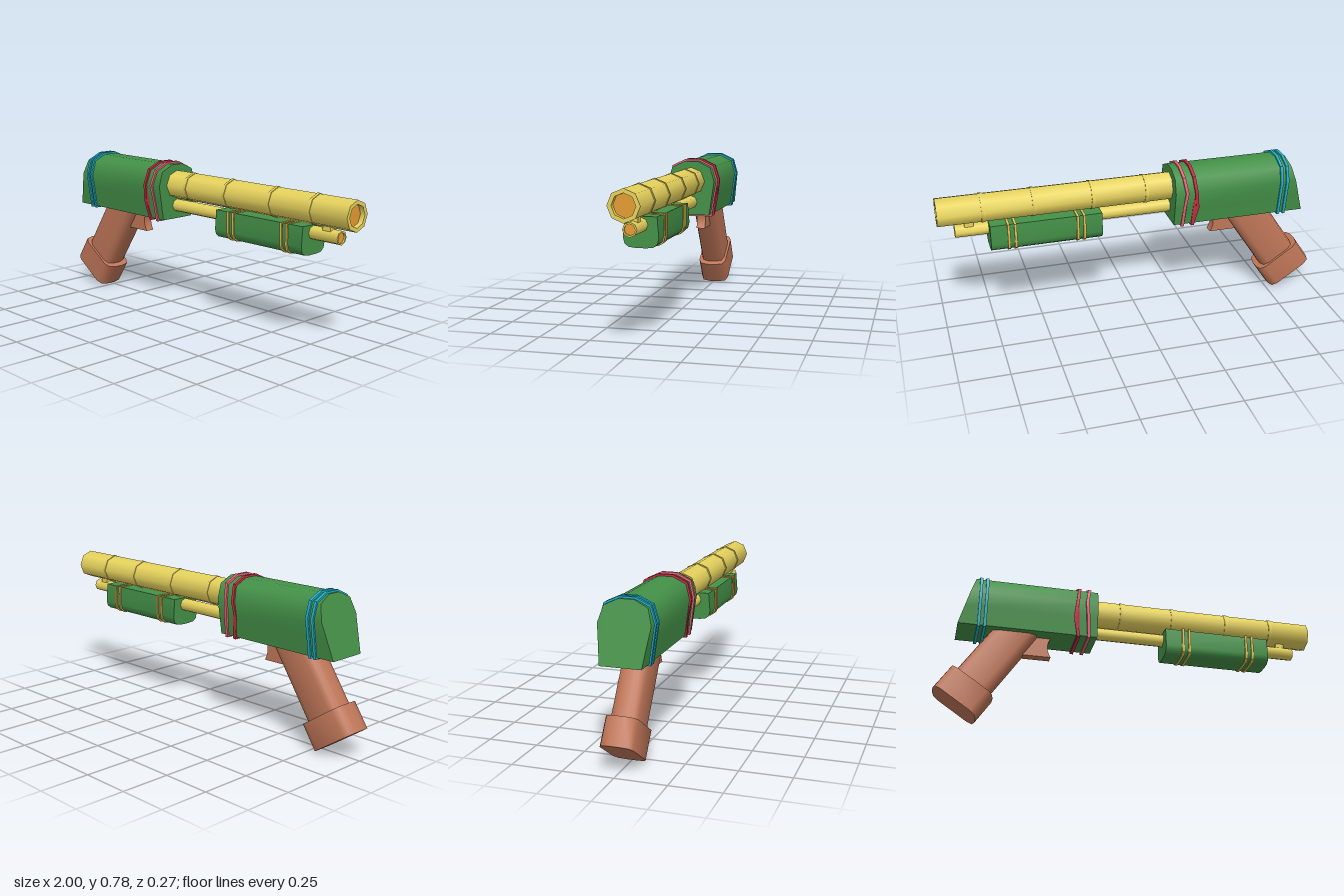
import * as THREE from 'three';
import { toCreasedNormals } from 'three/addons/utils/BufferGeometryUtils.js';

const paint = (name, color) => {
  const m = new THREE.MeshStandardMaterial({ color });
  m.name = name;
  return m;
};

// Mirror half an outline (from top centre down to bottom centre) into a full loop
const mirrored = (half) => [
  ...half.map(([z, y]) => new THREE.Vector2(z, y)),
  ...half.slice().reverse().map(([z, y]) => new THREE.Vector2(-z, y)),
];

const scaled = (pts, k, cy) => pts.map((p) => new THREE.Vector2(p.x * k, cy + (p.y - cy) * k));

// Piecewise linear lookup in [y, value] pairs, sorted by y
const lookup = (table, y) => {
  if (y <= table[0][0]) return table[0][1];
  for (let i = 1; i < table.length; i++) {
    const [y0, v0] = table[i - 1], [y1, v1] = table[i];
    if (y <= y1) return v0 + ((v1 - v0) * (y - y0)) / (y1 - y0);
  }
  return table[table.length - 1][1];
};

// Extrude a (z, y) outline along x from x0 to x1
function alongX(shape, x0, x1) {
  const g = new THREE.ExtrudeGeometry(shape, { depth: x1 - x0, bevelEnabled: false });
  return g.rotateY(Math.PI / 2).translate(x0, 0, 0);
}

export function createModel() {
  const root = new THREE.Group();
  const green = paint('green', 0x449148);
  const gold = paint('gold', 0xe8d45e);
  const amber = paint('amber gold', 0xe8c453);
  const orange = paint('orange', 0xe69c33);
  const brown = paint('brown', 0xbf7658);
  const teal = paint('teal', 0x1fb2cd);
  const red = paint('red', 0xc62f45);
  const pink = paint('pink', 0xe9677a);

  const add = (name, geometry, material, crease = 0.85) => {
    const mesh = new THREE.Mesh(toCreasedNormals(geometry, crease), material);
    mesh.name = name;
    root.add(mesh);
    return mesh;
  };

  // Receiver with a slanted rear end
  const bodyLoop = mirrored([
    [0.037, 0.768], [0.105, 0.736], [0.127, 0.66], [0.114, 0.575], [0.1, 0.478],
  ]);
  const body = alongX(new THREE.Shape(bodyLoop), -0.905, -0.192);
  const bp = body.attributes.position;
  for (let i = 0; i < bp.count; i++) {
    if (bp.getX(i) < -0.5) bp.setX(i, -0.905 + (bp.getY(i) - 0.478) * 0.3);
  }
  add('receiver', body, green);

  // Closed bands hugging an outline; xAt gives their centre line by height
  const band = (name, loop, cy, k, width, xAt, material) => {
    const shape = new THREE.Shape(scaled(loop, k, cy));
    shape.holes.push(new THREE.Path(scaled(loop, 0.99, cy)));
    const g = alongX(shape, -width / 2, width / 2);
    const p = g.attributes.position;
    for (let i = 0; i < p.count; i++) p.setX(i, p.getX(i) + lookup(xAt, p.getY(i)));
    add(name, g, material, 0.6);
  };
  [-0.801, -0.77].forEach((x) => band('rearBand', bodyLoop, 0.625, 1.065, 0.015, [[0, x]], teal));
  band('frontBandInner', bodyLoop, 0.625, 1.07, 0.016,
    [[0.47, -0.29], [0.575, -0.313], [0.737, -0.291], [0.78, -0.29]], red);
  band('frontBandOuter', bodyLoop, 0.625, 1.07, 0.016,
    [[0.47, -0.236], [0.575, -0.241], [0.66, -0.252], [0.737, -0.238], [0.78, -0.236]], pink);

  // Eight-sided hollow tubes with a shallow recessed bore
  const hollowTube = (name, y, r, bore, recess, x0, x1) => {
    const profile = [[r, x0], [r, x1], [bore, x1], [bore, x1 - recess]]
      .map(([a, b]) => new THREE.Vector2(a, b));
    add(name, new THREE.LatheGeometry(profile, 8).rotateZ(-Math.PI / 2).translate(0, y, 0), gold);
    add(name + 'Bore', new THREE.CircleGeometry(bore, 8).rotateY(Math.PI / 2)
      .translate(x1 - recess, y, 0), orange);
  };
  hollowTube('barrel', 0.661, 0.075, 0.055, 0.025, -0.25, 1);
  hollowTube('magazineTube', 0.548, 0.034, 0.026, 0.008, -0.25, 0.917);

  // Thin rings around the barrel
  [-0.056, 0.224, 0.524, 0.777].forEach((x) => {
    add('barrelRing', new THREE.CylinderGeometry(0.0785, 0.0785, 0.016, 8)
      .rotateZ(-Math.PI / 2).translate(x, 0.661, 0), gold);
  });

  // Spacer between the tubes
  add('tubeSpacer', new THREE.BoxGeometry(0.045, 0.034, 0.046).translate(0.846, 0.58, 0), gold);

  // Pump handle with pairs of bands
  const pumpLoop = mirrored([
    [0.076, 0.586], [0.084, 0.488], [0.077, 0.461], [0.058, 0.446], [0.025, 0.442],
  ]);
  add('pumpHandle', alongX(new THREE.Shape(pumpLoop), 0.182, 0.75), green);
  const pumpBandLoop = mirrored([
    [0.085, 0.586], [0.085, 0.488], [0.078, 0.461], [0.058, 0.446], [0.025, 0.442],
  ]);
  [0.276, 0.31, 0.626, 0.66].forEach((x) => {
    band('pumpBand', pumpBandLoop, 0.518, 1.06, 0.013, [[0, x]], amber);
  });

  // Grip and its end cap: rounded sections swept along the slanted axis
  const across = new THREE.Vector3(0.83, -0.558, 0).normalize();
  const side = new THREE.Vector3(0, 0, 1);
  const axis = new THREE.Vector3().crossVectors(across, side);
  const foot = new THREE.Vector3(-0.8875, 0.073, 0);
  const slanted = (name, w, z, from, to) => {
    const quarter = [[w, z * 0.32], [w - 0.01, z * 0.82], [w - 0.04, z]];
    const half = [...quarter, ...quarter.map(([a, b]) => [-a, b]).reverse()];
    const loop = [...half, ...half.map(([a, b]) => [a, -b]).reverse()]
      .map(([a, b]) => new THREE.Vector2(a, b));
    const g = new THREE.ExtrudeGeometry(new THREE.Shape(loop), { depth: from - to, bevelEnabled: false });
    const start = foot.clone().addScaledVector(axis, -from);
    g.applyMatrix4(new THREE.Matrix4().makeBasis(across, side, axis).setPosition(start));
    add(name, g, brown, 1.2);
  };
  slanted('grip', 0.102, 0.067, 0.62, 0.05);
  slanted('gripCap', 0.131, 0.08, 0.14, 0);

  // Trigger with a concave front
  const trigger = new THREE.Shape();
  trigger.moveTo(-0.6, 0.373);
  trigger.lineTo(-0.42, 0.373);
  trigger.quadraticCurveTo(-0.455, 0.43, -0.42, 0.485);
  trigger.lineTo(-0.6, 0.485);
  add('trigger', new THREE.ExtrudeGeometry(trigger, { depth: 0.048, bevelEnabled: false, curveSegments: 6 })
    .translate(0, 0, -0.024), brown);

  return root;
}
